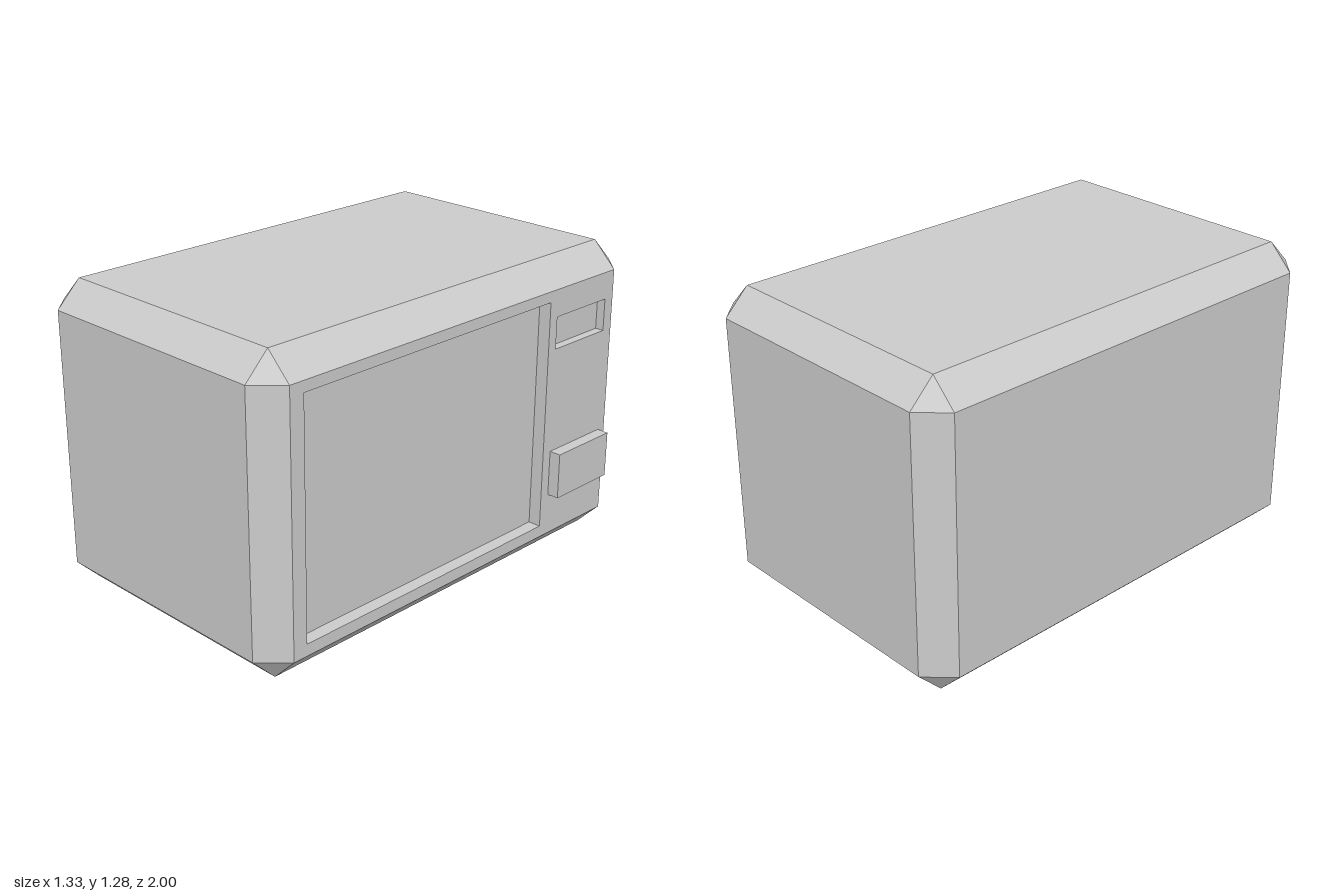
import * as THREE from 'three';

const material = new THREE.MeshStandardMaterial({ color: 0xcccccc, flatShading: true });
const CHAMFER = 0.105;
const HALF = [0.6375, 0.64, 1];
const CENTER = [-0.0275, 0.64, 0];
const SIDE_X = CENTER[0] + HALF[0];

// Rectangles on the side panel: z and y limits, and depth
const WINDOW = { z: [-0.49, 0.83], y: [0.155, 1.13], depth: 0.055 };
const SLOT = { z: [-0.845, -0.535], y: [0.925, 1.06], depth: 0.037 };
const BUTTON = { z: [-0.855, -0.535], y: [0.285, 0.48], depth: 0.05 };

function addMesh(group, name, geometry) {
  const mesh = new THREE.Mesh(geometry, material);
  mesh.name = name;
  group.add(mesh);
  return mesh;
}

// Chamfered box made of faces, edge strips and corner triangles, open at +x
function shellGeometry() {
  const positions = [];
  // Corner point lying on the face of the given axis
  const point = (signs, axis) => new THREE.Vector3(
    ...signs.map((s, i) => s * (HALF[i] - (i === axis ? 0 : CHAMFER))));
  const addPolygon = (pts) => {
    const normal = pts[1].clone().sub(pts[0]).cross(pts[2].clone().sub(pts[0]));
    if (normal.dot(pts[0]) < 0) pts.reverse();
    for (let i = 1; i < pts.length - 1; i++) {
      for (const p of [pts[0], pts[i], pts[i + 1]]) positions.push(...p.toArray());
    }
  };
  const signsFor = (axis, s, t, u) => {
    const signs = [0, 0, 0];
    signs[axis] = s;
    signs[(axis + 1) % 3] = t;
    signs[(axis + 2) % 3] = u;
    return signs;
  };

  for (let axis = 0; axis < 3; axis++) {
    const next = (axis + 1) % 3, last = (axis + 2) % 3;
    for (const s of [-1, 1]) {
      // Flat face
      if (axis !== 0 || s < 0) {
        addPolygon([[-1, -1], [1, -1], [1, 1], [-1, 1]]
          .map(([t, u]) => point(signsFor(axis, s, t, u), axis)));
      }
      // Chamfered edges running along this axis
      for (const t of [-1, 1]) {
        const a = signsFor(axis, -1, s, t), b = signsFor(axis, 1, s, t);
        addPolygon([point(a, next), point(b, next), point(b, last), point(a, last)]);
      }
    }
  }
  for (const x of [-1, 1]) for (const y of [-1, 1]) for (const z of [-1, 1]) {
    addPolygon([0, 1, 2].map((axis) => point([x, y, z], axis)));
  }

  const geometry = new THREE.BufferGeometry();
  geometry.setAttribute('position', new THREE.Float32BufferAttribute(positions, 3));
  geometry.translate(...CENTER);
  geometry.computeVertexNormals();
  return geometry;
}

// Adds a rectangle to a shape or path, with -z running along the drawing's x
function rectangle(path, { z, y }) {
  path.moveTo(-z[1], y[0]);
  path.lineTo(-z[0], y[0]);
  path.lineTo(-z[0], y[1]);
  path.lineTo(-z[1], y[1]);
  path.closePath();
  return path;
}

function boxOnSide({ z, y, depth }, direction) {
  const geometry = new THREE.BoxGeometry(depth, y[1] - y[0], z[1] - z[0]);
  return geometry.translate(
    SIDE_X + direction * depth / 2, (y[0] + y[1]) / 2, (z[0] + z[1]) / 2);
}

// Inward-facing box without its outer (+x) face
function recessGeometry(rect) {
  const geometry = boxOnSide(rect, -1);
  const index = Array.from(geometry.index.array).slice(6).reverse();
  geometry.setIndex(index);
  geometry.clearGroups();
  geometry.computeVertexNormals();
  return geometry;
}

export function createModel() {
  const model = new THREE.Group();
  model.name = 'chamferedCabinet';

  addMesh(model, 'bodyShell', shellGeometry());

  // Side panel with openings for the window and the slot
  const panel = rectangle(new THREE.Shape(), {
    z: [-HALF[2] + CHAMFER, HALF[2] - CHAMFER],
    y: [CHAMFER, 2 * HALF[1] - CHAMFER],
  });
  for (const rect of [WINDOW, SLOT]) panel.holes.push(rectangle(new THREE.Path(), rect));
  const panelGeometry = new THREE.ShapeGeometry(panel);
  panelGeometry.rotateY(Math.PI / 2).translate(SIDE_X, 0, 0);
  addMesh(model, 'sidePanel', panelGeometry);

  addMesh(model, 'windowRecess', recessGeometry(WINDOW));
  addMesh(model, 'displaySlot', recessGeometry(SLOT));
  addMesh(model, 'button', boxOnSide(BUTTON, 1));

  return model;
}
